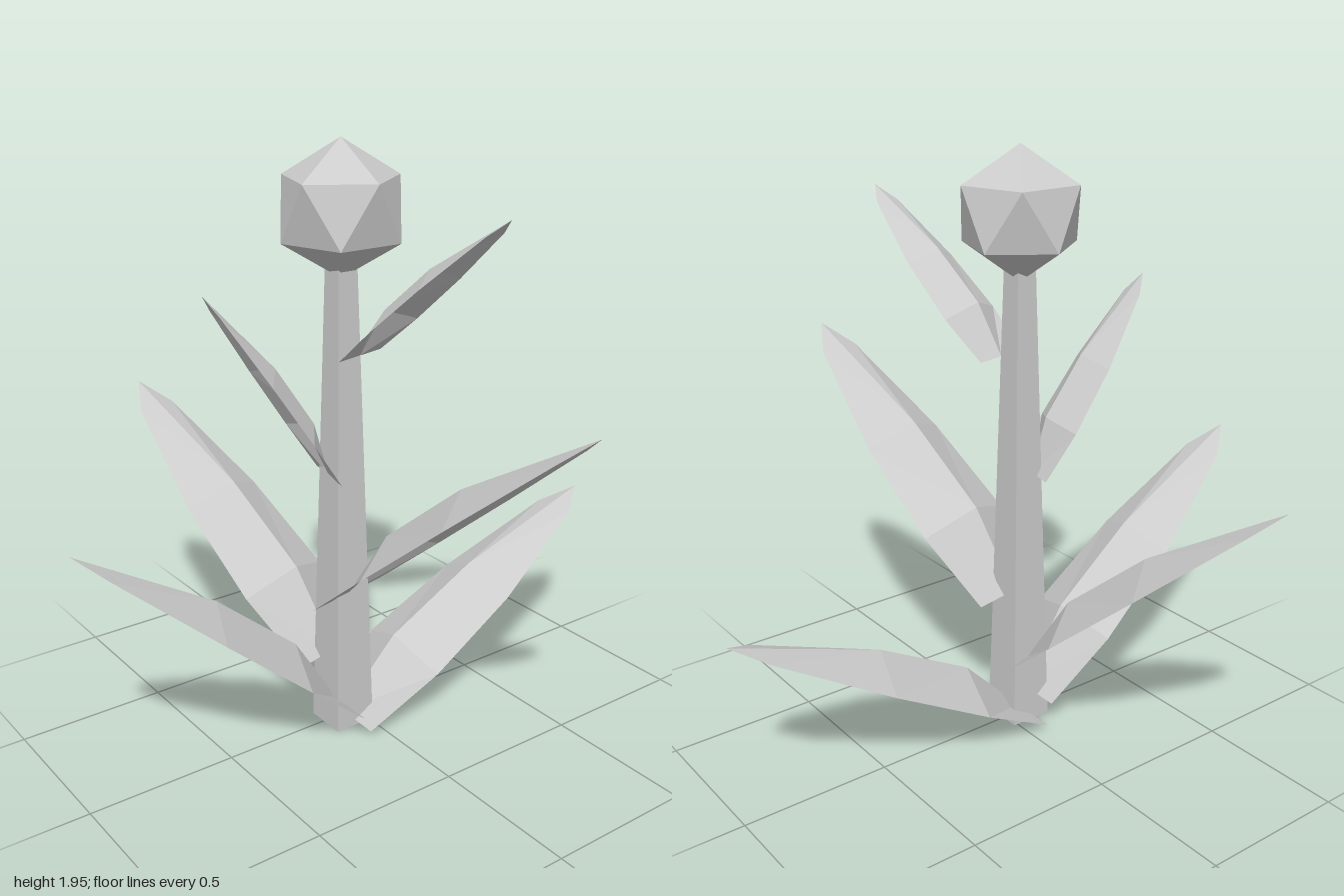
import * as THREE from 'three';

const material = new THREE.MeshStandardMaterial({ color: 0xcccccc, flatShading: true });
const leafMaterial = new THREE.MeshStandardMaterial({ color: 0xcccccc, flatShading: true, side: THREE.DoubleSide });

// Unit-length leaf along +z: [distance, half width, midrib height]
const LEAF_ROWS = [
  [0, 0.135, 0],
  [0.245, 0.158, 0.076],
  [0.557, 0.137, 0.075],
  [0.9, 0.063, 0.017],
  [1, 0, 0],
];

function leafGeometry() {
  const points = [], index = [];
  LEAF_ROWS.forEach(([t, w, h], i) => {
    points.push(-w, 0, t, 0, h, t, w, 0, t);
    if (i === LEAF_ROWS.length - 1) return;
    for (let k = 0; k < 2; k++) {
      const a = i * 3 + k, b = a + 1, c = a + 3, d = a + 4;
      if (i === LEAF_ROWS.length - 2) index.push(a, d, b); // tip
      else if (k === 0) index.push(a, c, b, b, c, d);
      else index.push(a, c, d, a, d, b);
    }
  });
  const indexed = new THREE.BufferGeometry();
  indexed.setAttribute('position', new THREE.Float32BufferAttribute(points, 3));
  indexed.setIndex(index);
  const geometry = indexed.toNonIndexed();
  geometry.computeVertexNormals();
  return geometry;
}

export function createModel() {
  const group = new THREE.Group();
  const centreX = 0.01, centreZ = 0.06;

  // Square tapering stem
  const stemGeometry = new THREE.CylinderGeometry(0.035 * Math.SQRT2, 0.073 * Math.SQRT2, 1.58, 4);
  stemGeometry.rotateY(Math.PI / 4);
  const stem = new THREE.Mesh(stemGeometry, material);
  stem.name = 'stem';
  stem.position.set(centreX, 0.79, centreZ);
  group.add(stem);

  // Flower bud, turned so one corner points straight up
  const budGeometry = new THREE.IcosahedronGeometry(0.21, 0);
  budGeometry.rotateZ(-Math.atan(2 / (1 + Math.sqrt(5))));
  const bud = new THREE.Mesh(budGeometry, material);
  bud.name = 'flowerBud';
  bud.position.set(centreX, 1.738, centreZ);
  group.add(bud);

  // Leaves, each from its base point to its tip
  const leaves = [
    ['lowerBackLeaf', [0.01, 0.02, 0.06], [0.025, 0.6, -1]],
    ['lowerFrontLeaf', [0.022, 0.085, 0.09], [0.005, 0.86, 1]],
    ['middleRightLeaf', [-0.042, 0.235, 0.058], [-0.925, 1.01, 0.29]],
    ['middleLeftLeaf', [0.02, 0.465, 0.045], [0.923, 1.235, -0.135]],
    ['upperFrontLeaf', [-0.005, 0.89, 0.1], [-0.085, 1.515, 0.49]],
    ['upperLeftLeaf', [0.05, 1.287, 0.018], [0.577, 1.77, -0.1]],
  ];
  const geometry = leafGeometry();
  const up = new THREE.Vector3(0, 1, 0);
  for (const [name, base, tip] of leaves) {
    const start = new THREE.Vector3(...base);
    const along = new THREE.Vector3(...tip).sub(start);
    const length = along.length();
    along.normalize();
    const across = up.clone().cross(along).normalize();
    const normal = along.clone().cross(across);
    const leaf = new THREE.Mesh(geometry, leafMaterial);
    leaf.name = name;
    leaf.position.copy(start);
    leaf.quaternion.setFromRotationMatrix(new THREE.Matrix4().makeBasis(across, normal, along));
    leaf.scale.setScalar(length);
    group.add(leaf);
  }
  return group;
}
